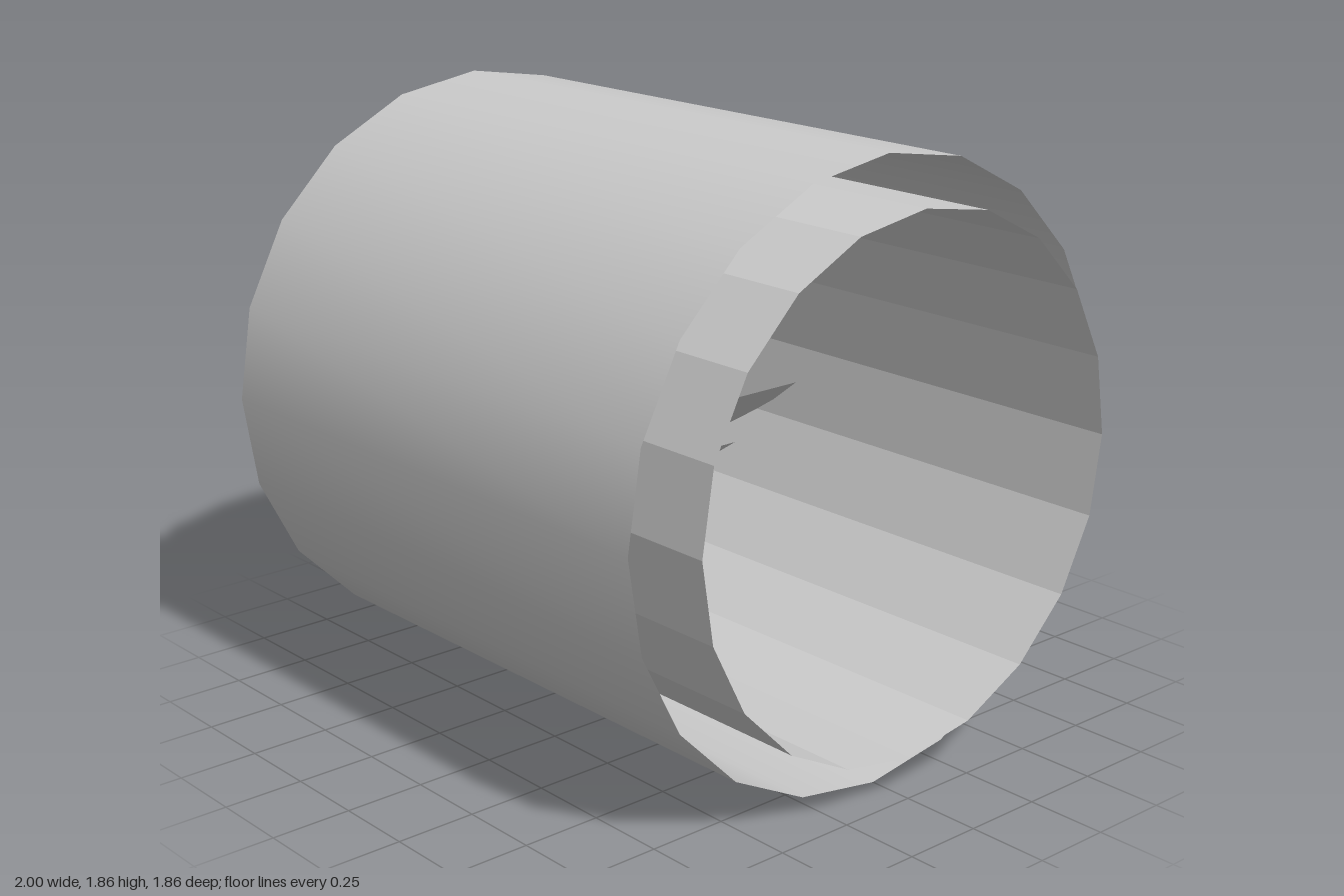
import * as THREE from 'three';

const R_OUT = 0.93, R_IN = 0.8, SIDES = 20;

export function createModel() {
  const group = new THREE.Group();
  group.name = 'louveredVent';
  const smooth = new THREE.MeshStandardMaterial({ color: 0xcccccc, side: THREE.DoubleSide });
  const flat = new THREE.MeshStandardMaterial({ color: 0xcccccc, side: THREE.DoubleSide, flatShading: true });

  const add = (name, geometry, material) => {
    const mesh = new THREE.Mesh(geometry, material);
    mesh.name = name;
    group.add(mesh);
    return mesh;
  };

  // Open tube lying along x between two ends
  const tube = (radius, x0, x1) =>
    new THREE.CylinderGeometry(radius, radius, x1 - x0, SIDES, 1, true)
      .rotateZ(Math.PI / 2)
      .translate((x0 + x1) / 2, R_OUT, 0);

  // Smooth outer shell and longer faceted liner, with an open gap at the right end
  add('outerShell', tube(R_OUT, -1, 0.86), smooth);
  add('innerLiner', tube(R_IN, -1, 1), flat);

  // Flat rim joining shell and liner at the louvered end
  add('endRim', new THREE.RingGeometry(R_IN, R_OUT, SIDES, 1)
    .rotateY(-Math.PI / 2).translate(-1, R_OUT, 0), flat);

  // Sloping slats: [half width, height] from lower outer edge to upper inner edge
  const slats = [
    [[0.56, 0.23], [0.56, 0.625]],
    [[0.65, 0.35], [0.65, 0.43], [0.71, 0.44], [0.77, 0.7], [0.71, 0.835]],
    [[0.83, 0.57], [0.83, 0.84], [0.55, 0.975]],
    [[0.81, 0.75], [0.81, 1.145]],
    [[0.83, 0.92], [0.83, 1.19], [0.55, 1.32]],
    [[0.81, 1.13], [0.81, 1.26], [0.48, 1.4], [0.38, 1.535]],
    [[0.71, 1.3], [0.71, 1.43], [0.41, 1.6], [0.33, 1.77]],
    [[0.66, 1.47], [0.66, 1.53], [0.41, 1.64], [0.35, 1.72]],
  ];
  const louvers = new THREE.Group();
  louvers.name = 'louvers';
  group.add(louvers);
  slats.forEach((profile, i) => {
    const right = profile.map(([w, y]) => new THREE.Vector2(w, y));
    const left = profile.map(([w, y]) => new THREE.Vector2(-w, y)).reverse();
    const geometry = new THREE.ShapeGeometry(new THREE.Shape([...right, ...left]));
    const p = geometry.attributes.position;
    // Lean the outline inwards as it rises
    for (let k = 0; k < p.count; k++) {
      const z = p.getX(k), y = p.getY(k);
      p.setXYZ(k, -0.95 + (y - profile[0][1]) * 1.5, y, z - 0.012);
    }
    geometry.computeVertexNormals();
    const slat = new THREE.Mesh(geometry, flat);
    slat.name = 'slat' + (i + 1);
    louvers.add(slat);
  });

  return group;
}
